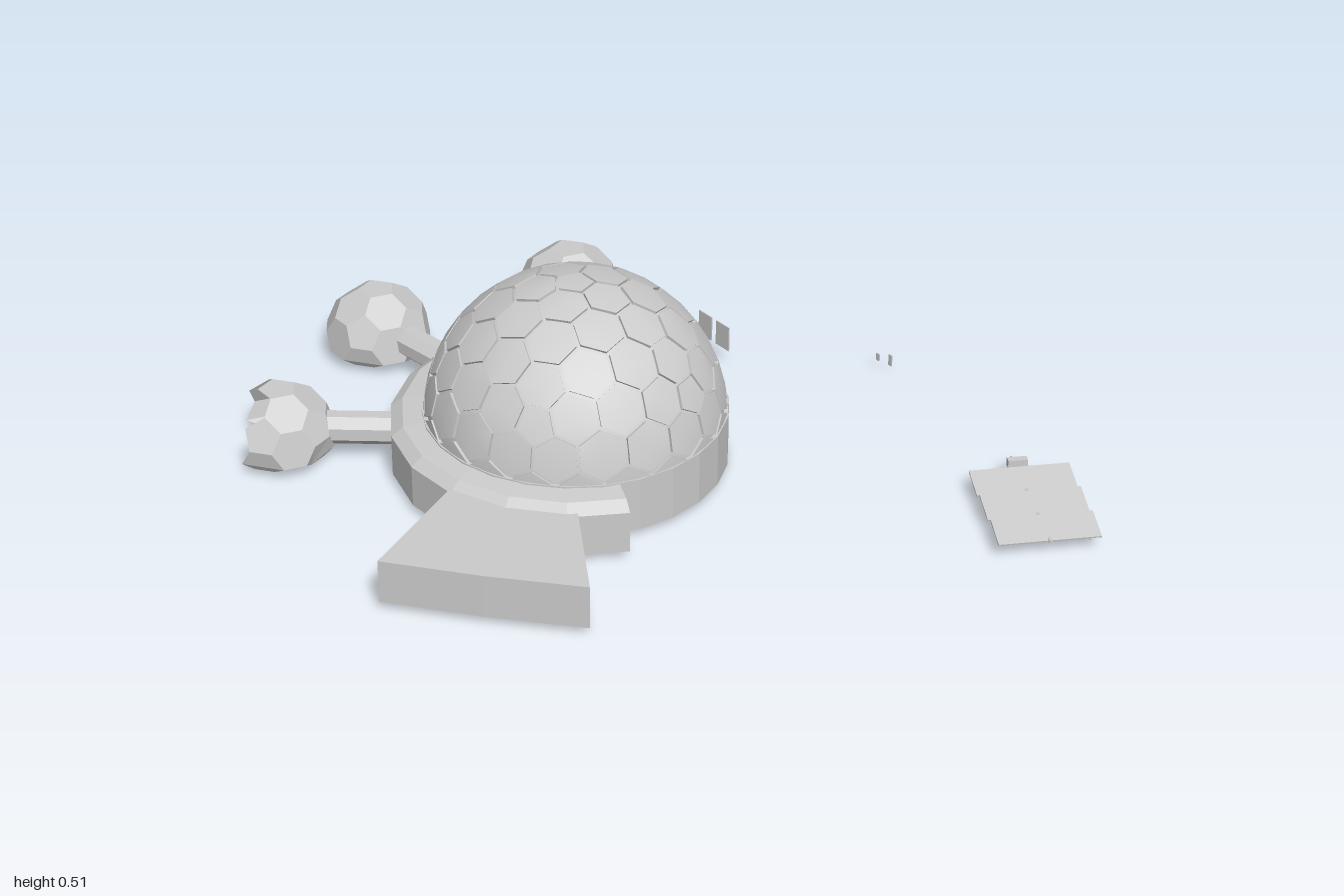
import * as THREE from 'three';
import { toCreasedNormals } from 'three/addons/utils/BufferGeometryUtils.js';
import { ConvexGeometry } from 'three/addons/geometries/ConvexGeometry.js';

const CX = -0.07, CZ = -0.12, FLOOR = 0.02; // dome axis and floor level
const V = (x, y, z) => new THREE.Vector3(x, y, z);
const smooth = new THREE.MeshStandardMaterial({ color: 0xcccccc });
const flat = new THREE.MeshStandardMaterial({ color: 0xcccccc, flatShading: true, side: THREE.DoubleSide });

function add(parent, name, geometry, material = flat) {
  const mesh = new THREE.Mesh(geometry, material);
  mesh.name = name;
  parent.add(mesh);
  return mesh;
}

function fromTriangles(points) {
  const g = new THREE.BufferGeometry().setFromPoints(points);
  g.computeVertexNormals();
  return g;
}

// Unit-sphere triangulation -> hexagon and pentagon cells, one round each vertex
function cells(geometry) {
  const t = (1 + Math.sqrt(5)) / 2;
  const up = new THREE.Quaternion().setFromUnitVectors(V(-1, t, 0).normalize(), V(0, 1, 0));
  const pos = geometry.applyQuaternion(up).attributes.position;
  const map = new Map();
  for (let i = 0; i < pos.count; i += 3) {
    const tri = [0, 1, 2].map(k => new THREE.Vector3().fromBufferAttribute(pos, i + k));
    const mid = V(0, 0, 0).add(tri[0]).add(tri[1]).add(tri[2]).normalize();
    for (const p of tri) {
      const key = p.toArray().map(v => Math.round(v * 1000)).join();
      if (!map.has(key)) map.set(key, { n: p.clone().normalize(), ring: [] });
      map.get(key).ring.push(mid);
    }
  }
  for (const { n, ring } of map.values()) {
    const a = ring[0].clone().projectOnPlane(n).normalize();
    const b = n.clone().cross(a);
    ring.sort((p, q) => Math.atan2(p.dot(b), p.dot(a)) - Math.atan2(q.dot(b), q.dot(a)));
  }
  return [...map.values()];
}

// Raised honeycomb panels over an inner shell
function buildDome(group) {
  const R = 0.38, depth = 0.012, tris = [];
  for (const { n, ring } of cells(new THREE.IcosahedronGeometry(1, 3))) {
    if (n.y < -0.05) continue;
    const rim = ring.map(p => p.clone().lerp(n, 0.08).normalize());
    rim.forEach((p, i) => {
      const q = rim[(i + 1) % rim.length];
      const at = (v, r) => v.clone().multiplyScalar(r);
      const lowP = at(p, R - depth), lowQ = at(q, R - depth);
      tris.push(at(n, R), at(p, R), at(q, R));
      tris.push(at(p, R), lowP, lowQ, at(p, R), lowQ, at(q, R));
    });
  }
  const panels = add(group, 'domePanels', toCreasedNormals(fromTriangles(tris), 0.5), smooth);
  const shell = add(group, 'domeShell', new THREE.SphereGeometry(R - 0.008, 48, 16, 0, Math.PI * 2, 0, Math.PI / 2), smooth);
  for (const m of [panels, shell]) m.position.set(CX, 0.13, CZ);
}

// Soccer-ball pod with its underside flattened; a broken one lacks its outer cells
function podGeometry(center, radius, outward, broken) {
  const ico = new THREE.IcosahedronGeometry(1, 0).attributes.position;
  const points = new Map();
  const put = p => points.set(p.toArray().map(v => Math.round(v * 1000)).join(), p);
  for (let i = 0; i < ico.count; i += 3) {
    const tri = [0, 1, 2].map(k => new THREE.Vector3().fromBufferAttribute(ico, i + k));
    tri.forEach(put);
    put(V(0, 0, 0).add(tri[0]).add(tri[1]).add(tri[2]).normalize());
  }
  const tris = [];
  const place = p => {
    const v = p.clone().multiplyScalar(radius).add(center);
    v.y = Math.max(v.y, FLOOR);
    return v;
  };
  for (const { n, ring } of cells(new ConvexGeometry([...points.values()]))) {
    if (broken && n.dot(outward) > 0.38) continue;
    for (let i = 1; i < ring.length - 1; i++) tris.push(place(ring[0]), place(ring[i]), place(ring[i + 1]));
  }
  return fromTriangles(tris);
}

function buildPod(group, name, x, z, broken) {
  const pod = new THREE.Group();
  pod.name = name;
  group.add(pod);
  const out = V(x - CX, 0, z - CZ);
  const length = out.length();
  out.normalize();
  add(pod, 'podShell', podGeometry(V(x, 0.058, z), 0.14, out, broken));
  // octagonal connecting tunnel from the ring to the pod
  const start = 0.42, end = length - 0.1;
  const tube = new THREE.CylinderGeometry(0.042, 0.042, end - start, 8, 1, true).rotateY(Math.PI / 8).rotateX(Math.PI / 2);
  const tunnel = add(pod, 'tunnel', tube);
  tunnel.position.set(CX, 0.08, CZ).addScaledVector(out, (start + end) / 2);
  tunnel.rotation.y = Math.atan2(out.x, out.z);
}

// Partial ring round the drum, chamfered outside and capped at both ends
function buildRing(group) {
  const profile = [[0.3, FLOOR], [0.465, FLOOR], [0.465, 0.13], [0.435, 0.152], [0.37, 0.16]].map(p => new THREE.Vector2(...p));
  const from = THREE.MathUtils.degToRad(111.7), to = THREE.MathUtils.degToRad(355.5);
  const ring = new THREE.Group();
  ring.name = 'ringCorridor';
  ring.position.set(CX, 0, CZ);
  group.add(ring);
  add(ring, 'ringShell', new THREE.LatheGeometry(profile, 13, Math.PI / 2 - to, to - from));
  for (const angle of [from, to]) add(ring, 'ringEnd', new THREE.ShapeGeometry(new THREE.Shape(profile))).rotation.y = -angle;
}

// Flared annex seen as a trapezoid in plan
function buildAnnex(group) {
  const plan = [[-0.83, 0.11], [-0.675, 0.31], [-0.51, 0.5], [-0.33, 0.22], [-0.46, -0.06]];
  const shape = new THREE.Shape(plan.map(([x, z]) => new THREE.Vector2(x, -z)));
  const geo = new THREE.ExtrudeGeometry(shape, { depth: 0.115, bevelEnabled: false }).rotateX(-Math.PI / 2);
  add(group, 'annex', geo).position.y = FLOOR;
}

// Three tilted solar panels on a rail
function buildSolarArray(group) {
  const array = new THREE.Group();
  array.name = 'solarArray';
  array.position.set(0.632, 0.045, 0.793);
  array.rotation.y = -Math.PI / 6;
  group.add(array);
  for (let i = -1; i <= 1; i++) {
    const panel = add(array, 'solarPanel', new THREE.BoxGeometry(0.254, 0.004, 0.088));
    panel.position.z = i * 0.108;
    panel.rotation.x = 0.2;
  }
  add(array, 'rail', new THREE.BoxGeometry(0.008, 0.008, 0.31)).position.y = -0.008;
  for (const x of [-0.1, 0.1]) add(array, 'sideRail', new THREE.BoxGeometry(0.004, 0.004, 0.3)).position.set(x, -0.014, 0);
  add(array, 'controlBox', new THREE.BoxGeometry(0.05, 0.02, 0.018)).position.set(0, 0.012, -0.17);
  // slanted mast and its foot
  const path = new THREE.LineCurve3(V(0, 0.01, -0.17), V(0, -0.01, -0.225));
  add(array, 'mast', new THREE.TubeGeometry(path, 1, 0.004, 6));
  add(array, 'mastFoot', new THREE.CylinderGeometry(0.004, 0.004, 0.055, 6)).position.set(0, -0.0175, -0.18);
}

export function createModel() {
  const group = new THREE.Group();
  group.name = 'domeBase';

  const drum = new THREE.CylinderGeometry(0.383, 0.383, 0.142, 26);
  add(group, 'drum', drum).position.set(CX, FLOOR + 0.071, CZ);
  buildDome(group);
  buildRing(group);
  buildAnnex(group);

  buildPod(group, 'backPod', -0.155, -0.86, false);
  buildPod(group, 'rightPod', -0.635, -0.6, true);
  buildPod(group, 'leftPod', 0.372, -0.72, true);
  buildSolarArray(group);

  // free-standing upright boards and marker posts
  for (const z of [-0.313, -0.243]) add(group, 'board', new THREE.BoxGeometry(0.003, 0.07, 0.052)).position.set(0.512, 0.085, z);
  for (const [x, z, h] of [[0.815, 0.03, 0.02], [0.822, 0.07, 0.032]])
    add(group, 'markerPost', new THREE.BoxGeometry(0.003, h, 0.012)).position.set(x, 0.025 + h / 2, z);
  return group;
}
